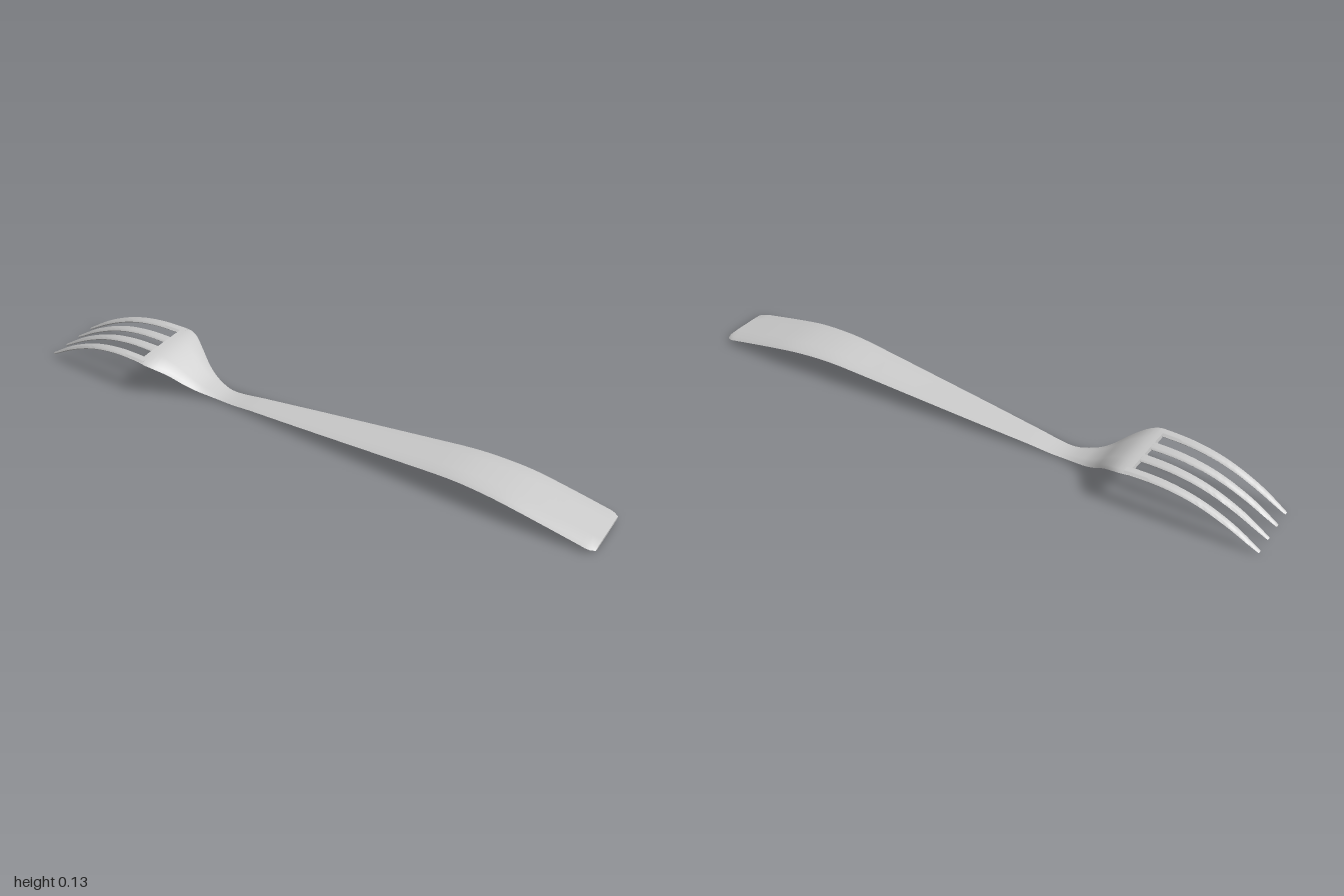
import * as THREE from 'three';
import { toCreasedNormals } from 'three/addons/utils/BufferGeometryUtils.js';

// Smooth curve through [x, value] points (Hermite with finite-difference slopes)
function profile(pts) {
  const slope = (i) => {
    const a = pts[Math.max(i - 1, 0)], b = pts[Math.min(i + 1, pts.length - 1)];
    return (b[1] - a[1]) / (b[0] - a[0]);
  };
  return (x) => {
    let i = 0;
    while (i < pts.length - 2 && x > pts[i + 1][0]) i++;
    const [x0, v0] = pts[i], [x1, v1] = pts[i + 1];
    const d = x1 - x0, t = (x - x0) / d, t2 = t * t, t3 = t2 * t;
    return v0 * (2 * t3 - 3 * t2 + 1) + v1 * (3 * t2 - 2 * t3)
      + d * (slope(i) * (t3 - 2 * t2 + t) + slope(i + 1) * (t3 - t2));
  };
}

// Side curve shared by the handle, head and tines
const spine = profile([
  [-1, 0.004], [-0.9, 0.061], [-0.8, 0.101], [-0.7, 0.12], [-0.6, 0.122], [-0.55, 0.115],
  [-0.5, 0.088], [-0.45, 0.05], [-0.4, 0.025], [-0.32, 0.009], [-0.2, 0.018], [0, 0.034],
  [0.2, 0.05], [0.4, 0.066], [0.53, 0.075], [0.62, 0.074], [0.72, 0.065], [0.85, 0.042], [1, 0.012],
]);

// Bevelled bar following the spine from x0 to x1, with its own width and thickness
function sweep(x0, x1, steps, centre, halfWidth, halfThick, bevel) {
  const pos = [], index = [], n = 10;
  for (let i = 0; i <= steps; i++) {
    const x = x0 + (x1 - x0) * i / steps;
    const w = halfWidth(x), h = halfThick(x), b = Math.min(bevel, w * 0.4);
    const slope = (spine(Math.min(x + 0.004, 1)) - spine(Math.max(x - 0.004, -1))) / 0.008;
    const len = Math.hypot(1, slope);
    const half = [[w, 0], [w - b, h * 0.85], [w * 0.45, h], [-w * 0.45, h], [b - w, h * 0.85]];
    const ring = [...half, ...half.map(([z, k]) => [-z, -k])];
    for (const [z, k] of ring) {
      pos.push(x - k * slope / len, spine(x) + k / len, centre(x) + z);
    }
  }
  for (let i = 0; i < steps; i++) {
    for (let j = 0; j < n; j++) {
      const a = i * n + j, b = i * n + (j + 1) % n;
      index.push(a, a + n, b, b, a + n, b + n);
    }
  }
  // End caps
  const e = steps * n;
  for (let j = 1; j < n - 1; j++) index.push(0, j, j + 1, e, e + j + 1, e + j);
  const geo = new THREE.BufferGeometry();
  geo.setAttribute('position', new THREE.Float32BufferAttribute(pos, 3));
  geo.setIndex(index);
  return toCreasedNormals(geo, 0.9);
}

export function createModel() {
  const fork = new THREE.Group();
  fork.name = 'fork';
  const metal = new THREE.MeshStandardMaterial({ color: 0xcccccc });
  const add = (name, geo) => {
    const mesh = new THREE.Mesh(geo, metal);
    mesh.name = name;
    fork.add(mesh);
  };

  // Handle, neck and flared head in one piece
  const width = profile([
    [-0.59, 0.129], [-0.56, 0.13], [-0.53, 0.119], [-0.5, 0.101], [-0.45, 0.073], [-0.4, 0.052],
    [-0.34, 0.037], [-0.29, 0.037], [0, 0.056], [0.4, 0.08], [0.7, 0.098], [0.76, 0.1],
    [0.96, 0.1], [0.98, 0.099], [1, 0.087],
  ]);
  const thick = profile([
    [-0.59, 0.0075], [-0.5, 0.0075], [-0.32, 0.004], [0, 0.0045], [0.3, 0.006], [0.6, 0.0085], [1, 0.0085],
  ]);
  add('handleAndHead', sweep(-0.59, 0.998, 110, () => 0, width, thick, 0.013));

  // Four tapering tines, slightly converging toward the tips
  const tineWidth = profile([[-1, 0.006], [-0.97, 0.01], [-0.92, 0.0135], [-0.8, 0.016], [-0.56, 0.019]]);
  const tineThick = profile([[-1, 0.003], [-0.9, 0.006], [-0.56, 0.007]]);
  for (const side of [-1, 1]) {
    for (const [name, tip, root] of [['outerTine', 0.098, 0.11], ['innerTine', 0.033, 0.034]]) {
      const centre = (x) => side * (tip + (root - tip) * (x + 1) / 0.42);
      add((side > 0 ? 'front' : 'back') + name[0].toUpperCase() + name.slice(1),
        sweep(-0.998, -0.575, 36, centre, tineWidth, tineThick, 0.006));
    }
  }
  return fork;
}
